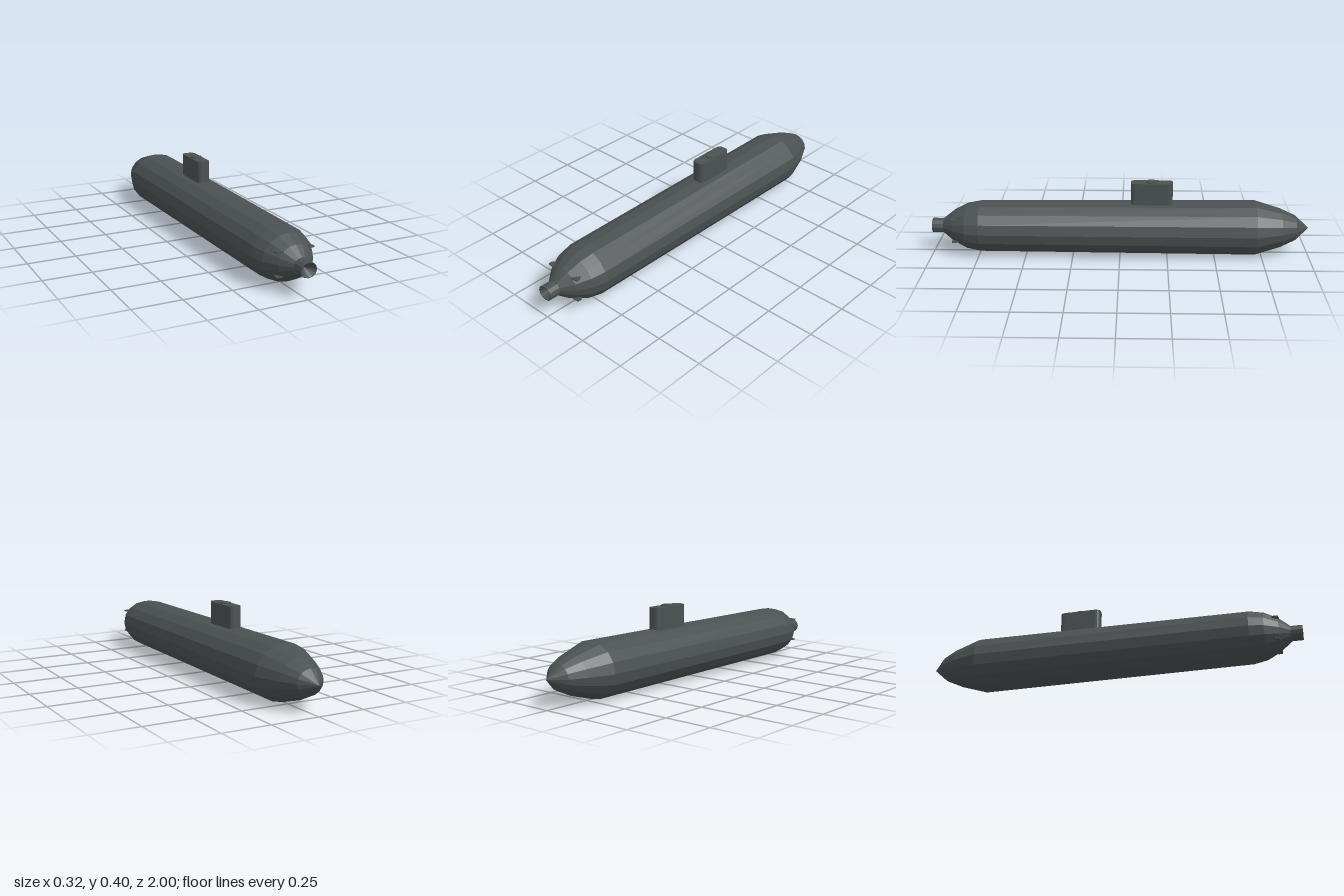
import * as THREE from 'three';

export function createModel() {
  const model = new THREE.Group();
  const grey = new THREE.MeshStandardMaterial({ color: 0x4b5152 });
  grey.name = 'hullGrey';
  const axisY = 0.147;

  // Adds a faceted mesh: every face gets its own normal
  function add(name, geometry) {
    const flat = geometry.index ? geometry.toNonIndexed() : geometry;
    flat.computeVertexNormals();
    const mesh = new THREE.Mesh(flat, grey);
    mesh.name = name;
    model.add(mesh);
    return mesh;
  }

  // Slightly flattened turned body along z, from [radius, z] pairs
  function turned(profile, sides) {
    return new THREE.LatheGeometry(profile.map(([r, z]) => new THREE.Vector2(r, z)), sides)
      .rotateX(Math.PI / 2).scale(1, 0.89, 1).translate(0, axisY, 0);
  }

  // Flat outline given in (x, -z), raised upward from y
  function raised(shape, y, height) {
    return new THREE.ExtrudeGeometry(shape, { depth: height, bevelEnabled: false, curveSegments: 4 })
      .rotateX(-Math.PI / 2).translate(0, y, 0);
  }

  // Hull with a pointed end and a blunt end
  add('hull', turned([
    [0, -1], [0.073, -0.93], [0.114, -0.85], [0.16, -0.715],
    [0.15, 0.74], [0.134, 0.815], [0.094, 0.885], [0.045, 0.94], [0, 0.94],
  ], 16));

  // Short nozzle with a conical recess
  add('nozzle', turned([[0.043, 0.93], [0.043, 1], [0.039, 1], [0, 0.955]], 12));

  // Sail with rounded ends
  const w = 0.034, front = 0.057, back = 0.277, c = 0.026;
  const outline = new THREE.Shape();
  outline.moveTo(-w + c, front);
  outline.lineTo(w - c, front);
  outline.quadraticCurveTo(w, front, w, front + c);
  outline.lineTo(w, back - c);
  outline.quadraticCurveTo(w, back, w - c, back);
  outline.lineTo(-w + c, back);
  outline.quadraticCurveTo(-w, back, -w, back - c);
  outline.lineTo(-w, front + c);
  outline.quadraticCurveTo(-w, front, -w + c, front);
  add('sail', raised(outline, 0.26, 0.136));

  // Hatch on top of the sail
  add('sailHatch', new THREE.CylinderGeometry(0.029, 0.029, 0.012, 12).translate(0, 0.396, -0.165));

  // Four small fins around the blunt end
  for (const side of [-1, 1]) {
    for (const y of [0.207, 0.087]) {
      const fin = new THREE.Shape([
        new THREE.Vector2(side * 0.065, -0.83),
        new THREE.Vector2(side * 0.1, -0.865),
        new THREE.Vector2(side * 0.1, -0.885),
        new THREE.Vector2(side * 0.065, -0.89),
      ]);
      add(side > 0 ? 'leftFin' : 'rightFin', raised(fin, y - 0.003, 0.006));
    }
  }
  return model;
}
